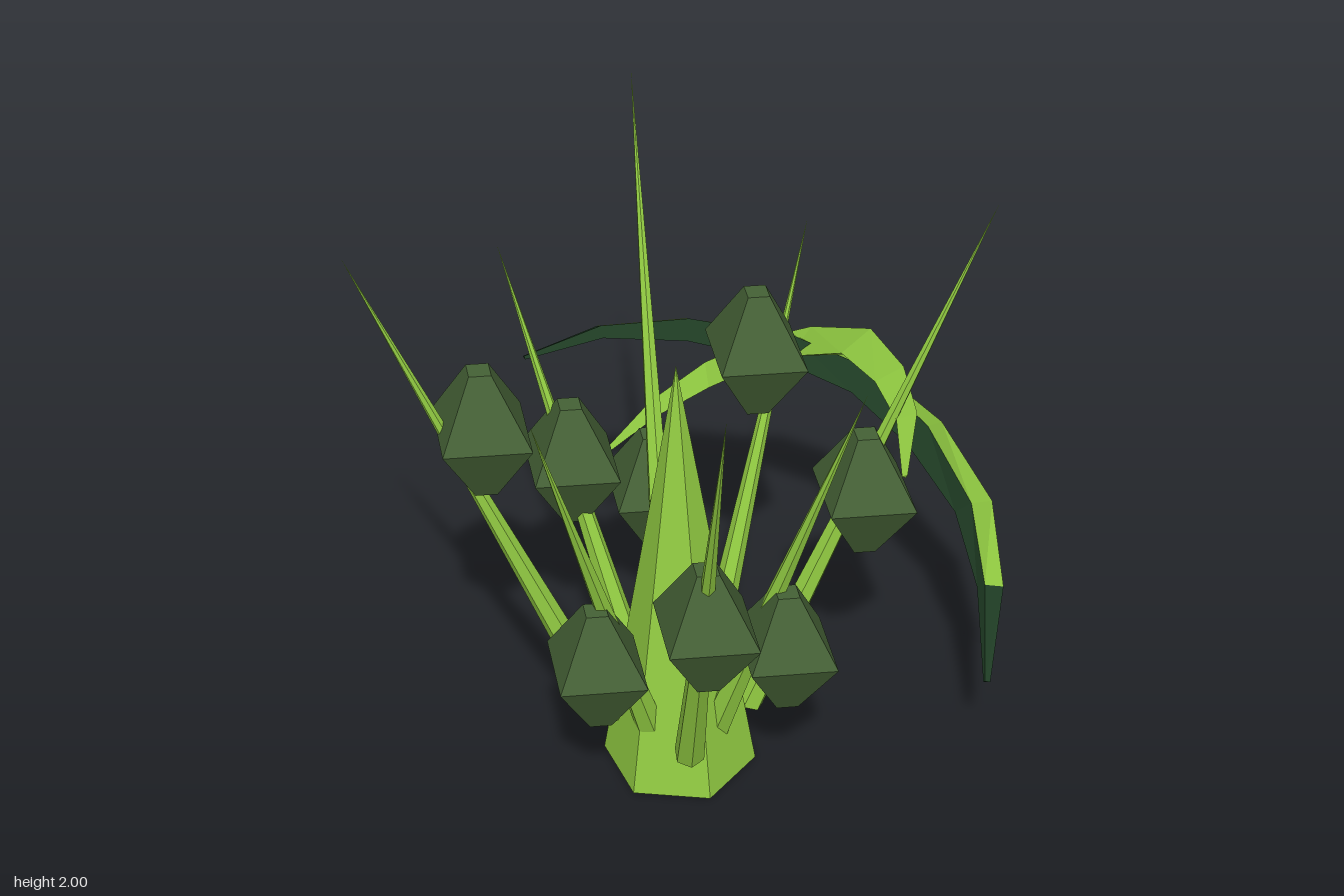
import * as THREE from 'three';

const mat = (name, color) => {
  const m = new THREE.MeshStandardMaterial({ color, flatShading: true });
  m.name = name;
  return m;
};

// Triangular-section curved blade through stations [x, y, z, scale], running towards +x.
// pick(face, segment, lastSegment) returns the material index.
function bladeGeometry(stations, profile, pick) {
  const pts = stations.map(s => new THREE.Vector3(s[0], s[1], s[2]));
  const up = new THREE.Vector3(0, 1, 0);
  const last = pts.length - 1;
  const rings = pts.map((p, i) => {
    const t = pts[Math.min(i + 1, last)].clone().sub(pts[Math.max(i - 1, 0)]).normalize();
    const n = up.clone().cross(t).normalize();
    const u = t.clone().cross(n);
    return profile.map(([a, b]) =>
      p.clone().addScaledVector(n, a * stations[i][3]).addScaledVector(u, b * stations[i][3]));
  });
  const pos = [];
  const geo = new THREE.BufferGeometry();
  const add = (verts, index) => {
    geo.addGroup(pos.length / 3, verts.length, index);
    verts.forEach(v => pos.push(v.x, v.y, v.z));
  };
  for (let i = 0; i < last; i++) {
    for (let k = 0; k < 3; k++) {
      const a = rings[i][k], b = rings[i][(k + 1) % 3];
      const c = rings[i + 1][(k + 1) % 3], d = rings[i + 1][k];
      add([a, b, c, a, c, d], pick(k, i, last - 1));
    }
  }
  add([...rings[0]].reverse(), pick(0, 0, last - 1));
  add(rings[last], pick(0, last - 1, last - 1));
  geo.setAttribute('position', new THREE.Float32BufferAttribute(pos, 3));
  geo.computeVertexNormals();
  return geo;
}

export function createModel() {
  const lime = mat('lime green', 0x92cc42);
  const moss = mat('moss green', 0x456136);
  const deep = mat('deep green', 0x1f3d24);
  const model = new THREE.Group();
  model.name = 'spikyPlant';
  const cx = -0.025, cz = 0.165;

  const add = (geo, material, name, parent = model) => {
    const m = new THREE.Mesh(geo, material);
    m.name = name;
    parent.add(m);
    return m;
  };

  // Central six-sided spire
  add(new THREE.ConeGeometry(0.248, 1.53, 6), lime, 'spire').position.set(cx, 0.765, cz);

  // Eight thorns leaning outwards, the diagonal ones longer
  for (let i = 0; i < 8; i++) {
    const [r0, y0, r1, y1] = i % 2 ? [0.226, 0.19, 0.955, 2.0] : [0.14, 0.18, 0.677, 1.7];
    const arm = new THREE.Group();
    arm.name = 'thornArm';
    arm.position.set(cx, 0, cz);
    arm.rotation.y = i * Math.PI / 4;
    const thorn = add(new THREE.ConeGeometry(0.05, Math.hypot(r1 - r0, y1 - y0), 6), lime, 'thorn', arm);
    thorn.position.set(0, (y0 + y1) / 2, (r0 + r1) / 2);
    thorn.rotation.x = Math.atan2(r1 - r0, y1 - y0);
    model.add(arm);
  }

  // Four-sided buds, one on each thorn: [column, row, height]
  const budGeo = new THREE.LatheGeometry(
    [[0, -0.217], [0.25, -0.217], [1, 0], [0.25, 0.217], [0, 0.217]]
      .map(([r, y]) => new THREE.Vector2(r, y)), 4);
  budGeo.scale(0.196, 1, 0.18);
  const buds = [
    [-1, 1, 1.357], [0, 1, 0.648], [1, 1, 1.0],
    [-1, 0, 1.0], [1, 0, 0.648],
    [-1, -1, 0.648], [0, -1, 1.357], [1, -1, 1.0],
  ];
  for (const [i, k, y] of buds) {
    add(budGeo, moss, 'bud').position.set(cx + i * 0.414, y, cz + k * 0.412);
  }

  // Two crossing curved blades behind the buds
  const limeBlade = bladeGeometry([
    [-0.73, 0.59, -0.37, 0.12], [-0.62, 0.74, -0.5, 0.5], [-0.48, 0.87, -0.61, 0.8],
    [-0.33, 0.98, -0.67, 0.95], [-0.15, 1.1, -0.675, 1], [0.1, 1.235, -0.615, 0.95],
    [0.32, 1.28, -0.47, 0.75], [0.49, 1.285, -0.31, 0.5], [0.63, 1.255, -0.09, 0.13],
  ], [[0.065, 0.03], [-0.06, -0.02], [0.03, -0.05]], () => 0);
  add(limeBlade, [lime], 'limeBlade');

  // The second one has a dark inner face and dark tips
  const darkBlade = bladeGeometry([
    [-0.8, 1.13, -0.05, 0.12], [-0.67, 1.17, -0.28, 0.42], [-0.47, 1.16, -0.49, 0.75],
    [-0.18, 1.11, -0.67, 0.95], [0.05, 1.03, -0.765, 1], [0.3, 0.9, -0.775, 1],
    [0.53, 0.73, -0.71, 0.8], [0.68, 0.55, -0.57, 0.5], [0.8, 0.345, -0.37, 0.13],
  ], [[0.08, -0.04], [-0.05, 0.045], [-0.09, -0.045]],
  (face, seg, lastSeg) => (face === 1 || seg === 0 || seg === lastSeg ? 1 : 0));
  add(darkBlade, [lime, deep], 'darkTippedBlade');

  return model;
}
